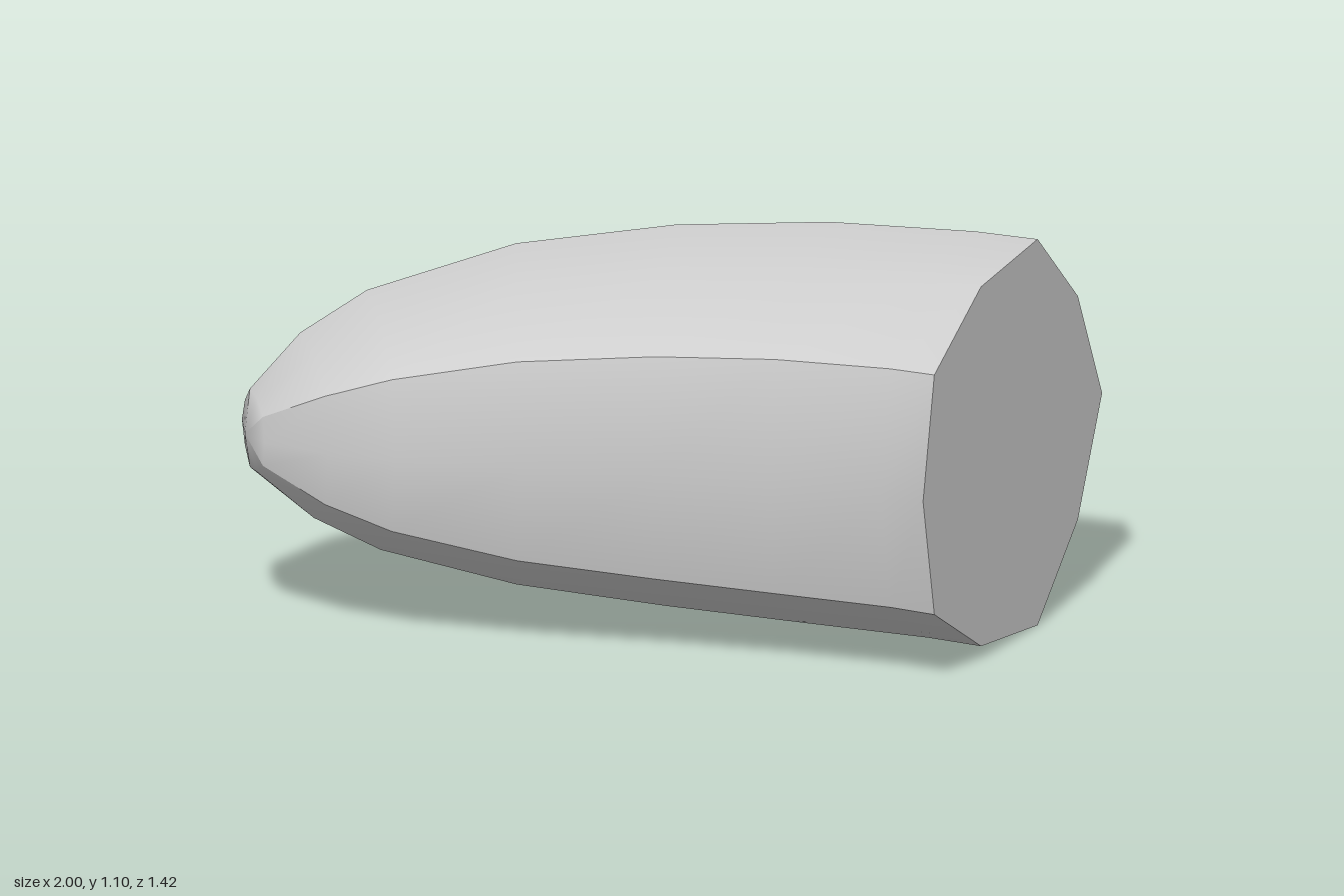
import * as THREE from 'three';

const MID_Y = 0.55;

// half cross-section: [share of the way from front to back, height per unit of depth]
const HALF = [[0, 0], [0.063, 0.306], [0.324, 0.459], [0.64, 0.493], [0.865, 0.285], [1, 0]];
const SECTION = [...HALF, ...HALF.slice(1, -1).reverse().map(([t, h]) => [t, -h])];

// rings along the curve: front x, z and back x, z
const RINGS = [
  [1, 0.4, 1, -0.715],
  [0.87, 0.396, 0.78, -0.71],
  [0.55, 0.435, 0.32, -0.63],
  [0.23, 0.5, -0.13, -0.47],
  [-0.13, 0.6, -0.54, -0.23],
  [-0.46, 0.685, -0.87, 0.11],
  [-0.65, 0.71, -0.97, 0.32],
  [-0.85, 0.695, -1, 0.525],
];
const TIP = [-0.935, 0.64];

function ringPoint([fx, fz, bx, bz], [t, h]) {
  const depth = Math.hypot(bx - fx, bz - fz);
  return [fx + (bx - fx) * t, MID_Y + h * depth, fz + (bz - fz) * t];
}

// lengthwise strip over some section points, smooth inside, sharp at its borders
function panel(name, columns, material) {
  const positions = [], index = [], n = columns.length;
  for (const ring of RINGS) {
    for (const c of columns) positions.push(...ringPoint(ring, SECTION[c]));
  }
  const tip = RINGS.length * n;
  positions.push(TIP[0], MID_Y, TIP[1]);
  for (let i = 0; i < RINGS.length; i++) {
    for (let j = 0; j < n - 1; j++) {
      const a = i * n + j;
      if (i === RINGS.length - 1) index.push(a, a + 1, tip);
      else index.push(a, a + 1, a + n, a + 1, a + n + 1, a + n);
    }
  }
  const geometry = new THREE.BufferGeometry();
  geometry.setAttribute('position', new THREE.Float32BufferAttribute(positions, 3));
  geometry.setIndex(index);
  geometry.computeVertexNormals();
  // all panels share one normal at the tip so it reads as rounded
  geometry.attributes.normal.setXYZ(tip, -0.77, 0, 0.64);
  const mesh = new THREE.Mesh(geometry, material);
  mesh.name = name;
  return mesh;
}

export function createModel() {
  const group = new THREE.Group();
  group.name = 'curvedHorn';
  const material = new THREE.MeshStandardMaterial({ color: 0xcccccc });

  group.add(
    panel('frontPanel', [9, 0, 1], material),
    panel('topPanel', [1, 2, 3], material),
    panel('backPanel', [3, 4, 5, 6, 7], material),
    panel('bottomPanel', [7, 8, 9], material),
  );

  // flat cut end facing +x
  const outline = SECTION.map((s) => {
    const [, y, z] = ringPoint(RINGS[0], s);
    return new THREE.Vector2(-z, y);
  });
  const end = new THREE.Mesh(new THREE.ShapeGeometry(new THREE.Shape(outline)), material);
  end.name = 'flatEnd';
  end.rotation.y = Math.PI / 2;
  end.position.x = RINGS[0][0];
  group.add(end);

  return group;
}
